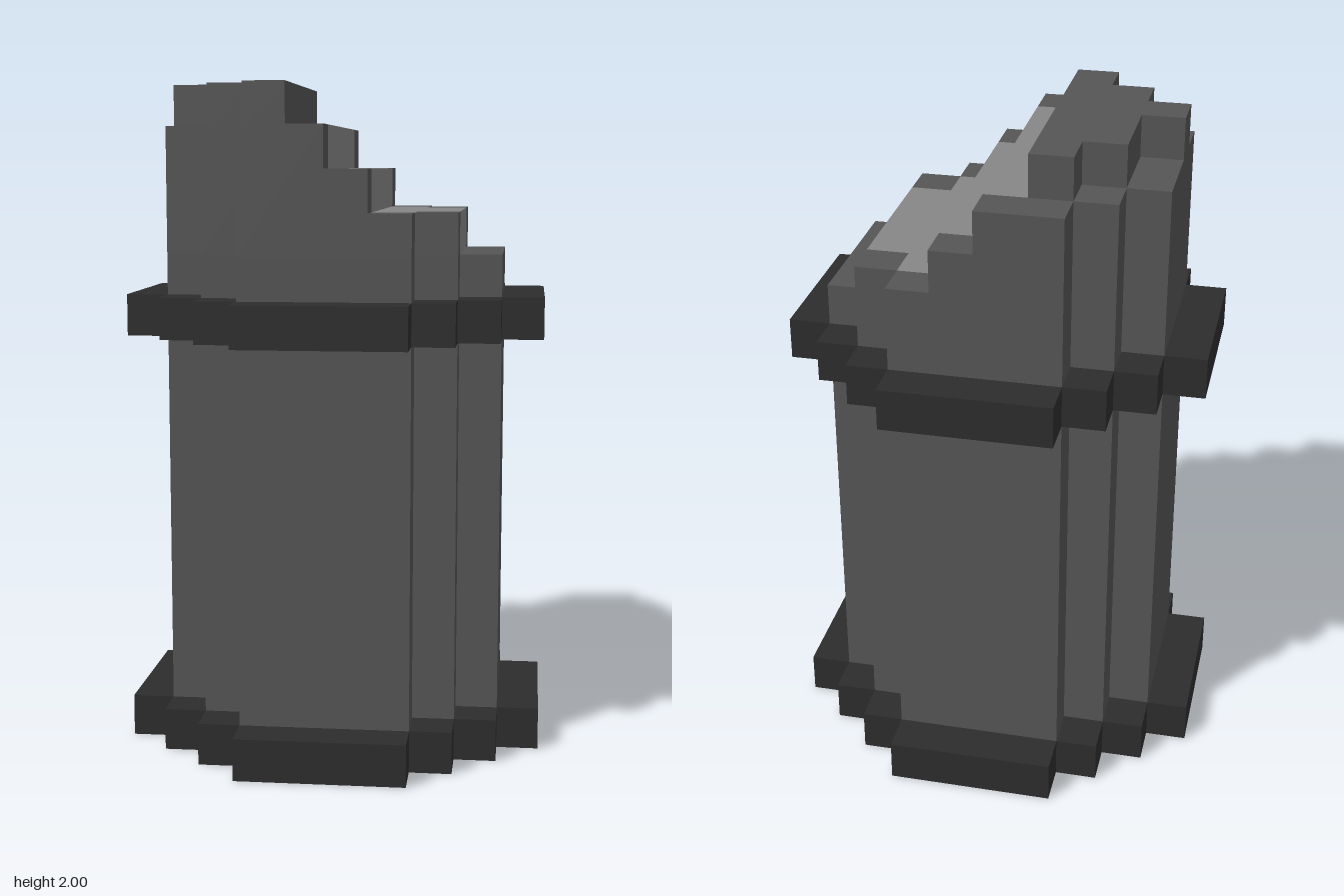
import * as THREE from 'three';

const U = 0.125; // block size

const casing = new THREE.MeshStandardMaterial({ color: 0x555555 });
casing.name = 'mid grey casing';
const trim = new THREE.MeshStandardMaterial({ color: 0x2d2d2d });
trim.name = 'dark grey trim';
const panel = new THREE.MeshStandardMaterial({ color: 0x868686 });
panel.name = 'light grey panel';

// Stepped round plan reaching r blocks from the centre, extruded from y0 to y1
function steppedDrum(name, r, y0, y1, material) {
  const quarter = [];
  for (let x = r; x >= 2; x--) {
    const z = r + 2 - x;
    if (x < r) quarter.push([x, z - 1]);
    quarter.push([x, z]);
  }
  const flipped = [...quarter].reverse();
  const outline = [
    ...quarter,
    ...flipped.map(([x, z]) => [-x, z]),
    ...quarter.map(([x, z]) => [-x, -z]),
    ...flipped.map(([x, z]) => [x, -z]),
  ];
  const shape = new THREE.Shape(outline.map(([x, z]) => new THREE.Vector2(x * U, z * U)));
  const geo = new THREE.ExtrudeGeometry(shape, { depth: (y1 - y0) * U, bevelEnabled: false });
  geo.rotateX(-Math.PI / 2);
  const mesh = new THREE.Mesh(geo, material);
  mesh.name = name;
  mesh.position.y = y0 * U;
  return mesh;
}

// Blocks given as [x0, x1, y0, y1, z0, z1] in block units
function blocks(name, list, material) {
  const group = new THREE.Group();
  group.name = name;
  for (const [x0, x1, y0, y1, z0, z1] of list) {
    const geo = new THREE.BoxGeometry((x1 - x0) * U, (y1 - y0) * U, (z1 - z0) * U);
    const mesh = new THREE.Mesh(geo, material);
    mesh.name = name + 'Block';
    mesh.position.set((x0 + x1) * U / 2, (y0 + y1) * U / 2, (z0 + z1) * U / 2);
    group.add(mesh);
  }
  return group;
}

export function createModel() {
  const model = new THREE.Group();
  model.name = 'slopedCanister';

  // Main drum with its base and collar
  model.add(steppedDrum('base', 5, 0, 1, trim));
  model.add(steppedDrum('drum', 4, 1, 12, casing));
  model.add(steppedDrum('collar', 5, 10, 11, trim));

  // High side of the sloped head, and the steps under the panel
  model.add(blocks('head', [
    [-4, -3, 12, 15, -2, 2],
    [-3, -1, 12, 15, -3, 3],
    [-1, 0, 12, 14, -3, 3],
    [0, 1, 12, 13, -3, 3],
  ], casing));

  // Stepped cheeks on the front and back
  for (const [name, s] of [['frontCheek', 1], ['backCheek', -1]]) {
    const side = (a, b) => (s > 0 ? [a, b] : [-b, -a]);
    model.add(blocks(name, [
      [-2, 0, 12, 15, ...side(3, 4)],
      [0, 1, 12, 14, ...side(3, 4)],
      [1, 2, 12, 13, ...side(3, 4)],
      [2, 3, 12, 13, ...side(2, 3)],
    ], casing));
  }

  // Crown with a single block jutting out at the high side
  model.add(blocks('crown', [
    [-2, -1, 15, 16, -3, 3],
    [-3, -2, 15, 16, -2, 2],
    [-4, -3, 15, 16, 0, 1],
  ], casing));

  // Light panel running down the slope in steps
  model.add(blocks('slopePanel', [
    [-1, 0, 14, 15, -3, 3],
    [0, 1, 13, 14, -3, 3],
    [1, 2, 12, 13, -3, 3],
    [2, 3, 12, 13, -2, 2],
  ], panel));

  return model;
}
